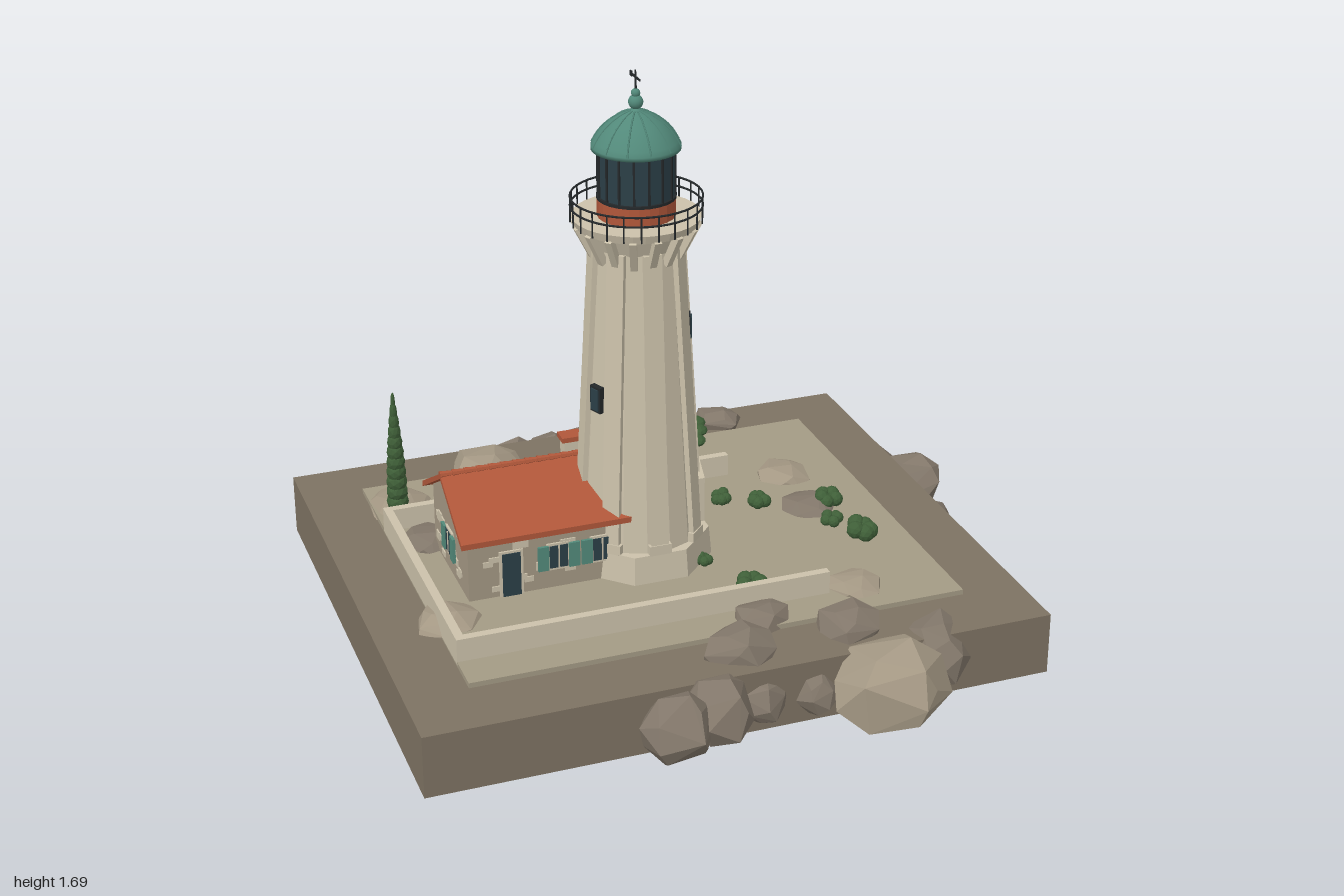
import * as THREE from 'three';
import { ConvexGeometry } from 'three/addons/geometries/ConvexGeometry.js';

const mat = (name, color, flatShading = true) => {
  const m = new THREE.MeshStandardMaterial({ color, flatShading });
  m.name = name;
  return m;
};

export function createModel() {
  const M = {
    earth: mat('earth', 0x7d7262),
    ground: mat('dry ground', 0xa39a84),
    rock: mat('grey rock', 0x82776a),
    paleRock: mat('pale rock', 0xa39783),
    stone: mat('limestone', 0xcbc1aa),
    tile: mat('terracotta', 0xb0573a),
    copper: mat('copper green', 0x52897a, false),
    glass: mat('dark glass', 0x2b3f47),
    iron: mat('black iron', 0x24282a),
    leaf: mat('foliage', 0x3f5f38),
  };
  const root = new THREE.Group();
  root.name = 'lighthouseIsland';

  let seed = 7;
  const rnd = () => (seed = (seed * 16807) % 2147483647) / 2147483647;
  const group = (name, parent = root) => {
    const g = new THREE.Group();
    g.name = name;
    parent.add(g);
    return g;
  };
  const add = (parent, name, geo, m, x = 0, y = 0, z = 0) => {
    const mesh = new THREE.Mesh(geo, m);
    mesh.name = name;
    mesh.position.set(x, y, z);
    parent.add(mesh);
    return mesh;
  };
  const box = (w, h, d) => new THREE.BoxGeometry(w, h, d);
  const cyl = (rt, rb, h, n = 24) => new THREE.CylinderGeometry(rt, rb, h, n);
  // box given by its minimum and maximum on each axis
  const span = (parent, name, m, x0, x1, y0, y1, z0, z1) =>
    add(parent, name, box(x1 - x0, y1 - y0, z1 - z0), m, (x0 + x1) / 2, (y0 + y1) / 2, (z0 + z1) / 2);
  // mirrored outline in z and y, extruded along x
  const prism = (parent, name, m, half, x, z, depth) => {
    const pts = [...half, ...half.filter((p) => p[0] > 0).reverse().map(([a, b]) => [-a, b])];
    const shape = new THREE.Shape(pts.map((p) => new THREE.Vector2(...p)));
    const geo = new THREE.ExtrudeGeometry(shape, { depth, bevelEnabled: false });
    add(parent, name, geo, m, x, 0, z).rotation.y = Math.PI / 2;
  };

  // ground slab, terrace and boundary walls
  span(root, 'islandSlab', M.earth, -0.99, 0.83, 0.05, 0.235, -0.82, 0.76);
  span(root, 'terrace', M.ground, -0.81, 0.65, 0.23, 0.25, -0.64, 0.57);
  for (const z of [0.4425, -0.3525]) add(root, 'longWall', box(1.095, 0.078, 0.025), M.stone, -0.2625, 0.279, z);
  span(root, 'sideWall', M.stone, -0.81, -0.785, 0.24, 0.318, -0.34, 0.43);

  // boulders: each spot is x, z, radius
  const rocks = group('boulders');
  const boulders = (m, y, flat, spots) => spots.forEach(([x, z, r]) => {
    const pts = [];
    for (let i = 0; i < 24; i++) {
      const v = 1 - (2 * i + 1) / 24, a = i * 2.4 + rnd() * 0.9, q = Math.sqrt(1 - v * v), k = r * (0.86 + rnd() * 0.22);
      pts.push(new THREE.Vector3(q * Math.cos(a) * k, v * k * flat, q * Math.sin(a) * k));
    }
    add(rocks, 'boulder', new ConvexGeometry(pts), m, x, y, z);
  });
  boulders(M.paleRock, 0.155, 0.82, [[0.31, 0.83, 0.17]]);
  boulders(M.rock, 0.16, 0.95, [[0.49, 0.71, 0.12], [-0.31, 0.83, 0.11], [-0.18, 0.79, 0.11], [0.88, -0.26, 0.105], [0.82, -0.38, 0.08]]);
  boulders(M.rock, 0.13, 0.9, [[-0.04, 0.72, 0.09], [0.12, 0.73, 0.08], [0.84, -0.04, 0.085], [-0.27, -0.88, 0.11],
    [-0.12, -0.92, 0.08], [-0.03, -0.9, 0.09], [0.11, -0.83, 0.06], [0.29, -0.85, 0.08], [0.43, -0.84, 0.08]]);
  boulders(M.rock, 0.23, 0.75, [[0.27, 0.62, 0.1], [-0.06, 0.63, 0.11], [0.06, 0.5, 0.09]]);
  boulders(M.paleRock, 0.24, 0.42, [[-0.41, -0.67, 0.13], [-0.72, -0.51, 0.11], [-0.77, 0.22, 0.1], [0.45, -0.29, 0.1], [0.37, 0.43, 0.09]]);
  boulders(M.rock, 0.24, 0.45, [[-0.7, -0.25, 0.1], [0.44, -0.06, 0.1], [0.4, -0.74, 0.09]]);
  boulders(M.rock, 0.06, 0.45, [[0.2, 0.5, 0.07], [-0.1, 0.2, 0.05], [0.45, -0.1, 0.06]]);

  // lighthouse tower
  const tower = group('tower');
  tower.position.set(-0.14, 0, 0.03);
  const spoke = (name, turn, parent = tower) => {
    const g = group(name, parent);
    g.rotation.y = -turn * Math.PI * 2;
    return g;
  };
  const ring = (name, count, parent, build) => {
    for (let i = 0; i < count; i++) build(spoke(name, i / count, parent));
  };
  add(tower, 'plinth', cyl(0.205, 0.213, 0.09, 8), M.stone, 0, 0.29, 0).rotation.y = Math.PI / 8;
  add(tower, 'shaft', cyl(0.122, 0.178, 0.92, 16), M.stone, 0, 0.79, 0).rotation.y = Math.PI / 16;
  add(tower, 'corbelRing', cyl(0.15, 0.124, 0.06, 16), M.stone, 0, 1.255, 0);
  add(tower, 'gallerySlab', cyl(0.182, 0.174, 0.024, 32), M.stone, 0, 1.294, 0);
  ring('pilaster', 8, tower, (g) => {
    add(g, 'pilasterShaft', box(0.03, 0.9, 0.052), M.stone, 0.148, 0.78, 0).rotation.z = Math.atan(0.06);
    add(g, 'pilasterFoot', box(0.03, 0.03, 0.066), M.stone, 0.176, 0.348, 0);
  });
  ring('bracket', 16, tower, (g) => {
    add(g, 'bracketArm', box(0.022, 0.105, 0.02), M.stone, 0.148, 1.24, 0).rotation.z = -0.47;
  });
  // tower windows climb in a spiral, each 3/8 of a turn further round
  for (let i = 0; i < 4; i++) {
    const g = spoke('towerWindow', -0.1875 - i * 0.375);
    const y = 0.61 + i * 0.18, r = 0.178 - (y - 0.33) * 0.061;
    add(g, 'windowSurround', box(0.022, 0.078, 0.042), M.iron, r, y, 0);
    add(g, 'windowPane', box(0.008, 0.064, 0.03), M.glass, r + 0.011, y, 0);
  }
  // gabled doorway
  prism(tower, 'doorSurround', M.stone, [[0.042, 0.33], [0.042, 0.475], [0, 0.515]], 0.13, 0, 0.06);
  for (const z of [-0.016, 0.016]) add(tower, 'doorLeaf', box(0.006, 0.135, 0.024), M.iron, 0.191, 0.403, z);

  // gallery railing
  const railing = group('railing', tower);
  for (const y of [1.335, 1.362])
    add(railing, 'rail', new THREE.TorusGeometry(0.184, 0.003, 6, 40), M.iron, 0, y, 0).rotation.x = Math.PI / 2;
  ring('post', 24, railing, (g) => add(g, 'postBar', cyl(0.0025, 0.0025, 0.075, 5), M.iron, 0.184, 1.325, 0));

  // lantern room and dome
  const lantern = group('lantern', tower);
  add(lantern, 'lanternBase', cyl(0.11, 0.11, 0.06), M.tile, 0, 1.333, 0);
  add(lantern, 'lanternGlass', cyl(0.106, 0.106, 0.15, 16), M.glass, 0, 1.435, 0);
  for (const y of [1.362, 1.5]) add(lantern, 'lanternRing', cyl(0.112, 0.112, 0.008), M.iron, 0, y, 0);
  ring('mullion', 16, lantern, (g) => add(g, 'mullionBar', box(0.006, 0.14, 0.006), M.iron, 0.107, 1.432, 0));
  const dome = [[0, 1.499], [0.125, 1.499], [0.125, 1.51], [0.118, 1.523], [0.1, 1.55], [0.073, 1.576], [0.04, 1.597], [0.014, 1.606], [0, 1.62]];
  add(lantern, 'dome', new THREE.LatheGeometry(dome.map((p) => new THREE.Vector2(...p)), 32), M.copper);
  const ribPath = new THREE.CatmullRomCurve3(dome.slice(2, 8).map(([x, y]) => new THREE.Vector3(x, y, 0)));
  const ribGeo = new THREE.TubeGeometry(ribPath, 8, 0.0025, 4);
  ring('domeRib', 12, lantern, (g) => add(g, 'rib', ribGeo, M.copper));
  add(lantern, 'ventBall', new THREE.SphereGeometry(0.021, 16, 10), M.copper, 0, 1.63, 0);
  add(lantern, 'ventCap', new THREE.SphereGeometry(0.013, 12, 8), M.copper, 0, 1.655, 0);
  add(lantern, 'spire', cyl(0.002, 0.004, 0.07, 6), M.iron, 0, 1.685, 0);
  add(lantern, 'vaneBar', box(0.004, 0.005, 0.078), M.iron, 0, 1.7, -0.003);
  add(lantern, 'vaneTail', box(0.004, 0.015, 0.012), M.iron, 0, 1.7, -0.036);

  // keeper's cottage
  const house = group('cottage');
  span(house, 'cottageWalls', M.paleRock, -0.69, -0.22, 0.24, 0.45, -0.215, 0.15);
  prism(house, 'gableWall', M.paleRock, [[0.182, 0.45], [0, 0.558]], -0.69, -0.032, 0.47);
  prism(house, 'roof', M.tile, [[0, 0.556], [0.213, 0.432], [0.213, 0.449], [0, 0.572]], -0.715, -0.032, 0.505);
  for (let i = 0; i < 14; i++)
    add(house, 'ridgeTile', cyl(0.012, 0.009, 0.036, 8), M.tile, -0.697 + i * 0.036, 0.568, -0.032).rotation.z = Math.PI / 2;
  add(house, 'chimney', box(0.05, 0.115, 0.04), M.stone, -0.31, 0.537, -0.08);
  add(house, 'chimneyCap', box(0.064, 0.015, 0.052), M.tile, -0.31, 0.602, -0.08);
  add(house, 'backLeanTo', box(0.1, 0.16, 0.065), M.rock, -0.46, 0.32, -0.247);
  // scattered stones set in the walls
  for (let i = 0; i < 26; i++) {
    const w = 0.022 + rnd() * 0.025, h = 0.014 + rnd() * 0.012, y = 0.26 + rnd() * 0.15;
    add(house, 'wallStone', box(w, h, 0.006), i % 5 ? M.stone : M.rock, -0.67 + rnd() * 0.4, y, i % 2 ? 0.151 : -0.216);
    if (i < 14) add(house, 'endStone', box(0.006, h, w), M.stone, -0.691, y + 0.01, -0.19 + rnd() * 0.31);
  }
  // openings, drawn facing +z and turned to their wall
  const opening = (name, x, z, turn, y0, shuttered = true) => {
    const g = group(name, house);
    const h = 0.385 - y0, y = y0 + h / 2;
    g.position.set(x, y, z);
    g.rotation.y = turn;
    add(g, 'frame', box(0.07, h + 0.014, 0.006), M.stone, 0, 0, 0.003);
    add(g, 'pane', box(0.054, h, 0.007), M.glass, 0, 0, 0.005);
    if (!shuttered) return;
    add(g, 'glazingBar', box(0.004, h, 0.004), M.stone, 0, 0, 0.009);
    for (const s of [-1, 1]) add(g, 'shutter', box(0.032, h + 0.006, 0.009), M.copper, s * 0.046, 0, 0.008);
  };
  opening('cottageDoor', -0.565, 0.15, 0, 0.25, false);
  for (const x of [-0.425, -0.295]) opening('frontWindow', x, 0.15, 0, 0.315);
  for (const x of [-0.6, -0.33]) opening('backWindow', x, -0.215, Math.PI, 0.315);
  opening('gableWindow', -0.69, -0.032, -Math.PI / 2, 0.315);

  // plants
  const plants = group('plants');
  const leafGeo = new THREE.IcosahedronGeometry(1, 1);
  const clump = (name, x, y, z, r, h) => {
    const m = add(plants, name, leafGeo, M.leaf, x, y, z);
    m.scale.set(r, h, r);
    m.rotation.y = rnd() * 6;
  };
  for (let i = 0; i < 12; i++) {
    const t = i / 11;
    clump('cypressTier', -0.75, 0.27 + t * 0.36, -0.425, 0.034 * (1 - t * t * 0.8), 0.032);
  }
  [[-0.46, -0.53, 0.04], [-0.29, -0.31, 0.05], [0.2, -0.18, 0.035], [0.3, -0.12, 0.04], [0.5, -0.05, 0.045], [0.46, 0.07, 0.035],
    [0.51, 0.17, 0.052], [0.01, 0.17, 0.03], [0.08, 0.37, 0.048]].forEach(([x, z, r]) => {
    for (let i = 0; i < 5; i++) {
      const a = i * 1.256 + rnd();
      clump('bush', x + Math.cos(a) * r * 0.5, 0.25 + r * (0.3 + rnd() * 0.35), z + Math.sin(a) * r * 0.5, r * 0.52, r * 0.52);
    }
  });
  // umbrella pine
  const trunk = new THREE.QuadraticBezierCurve3(
    new THREE.Vector3(0.2, 0.24, -0.48), new THREE.Vector3(0.22, 0.3, -0.48), new THREE.Vector3(0.2, 0.36, -0.47));
  add(plants, 'pineTrunk', new THREE.TubeGeometry(trunk, 6, 0.009, 6), M.earth);
  [[0.2, -0.47], [0.16, -0.52], [0.24, -0.52], [0.18, -0.41], [0.22, -0.45], [0.19, -0.385]].forEach(([x, z]) =>
    clump('pineCrown', x, 0.358 + rnd() * 0.008, z, 0.036, 0.018));

  return root;
}
